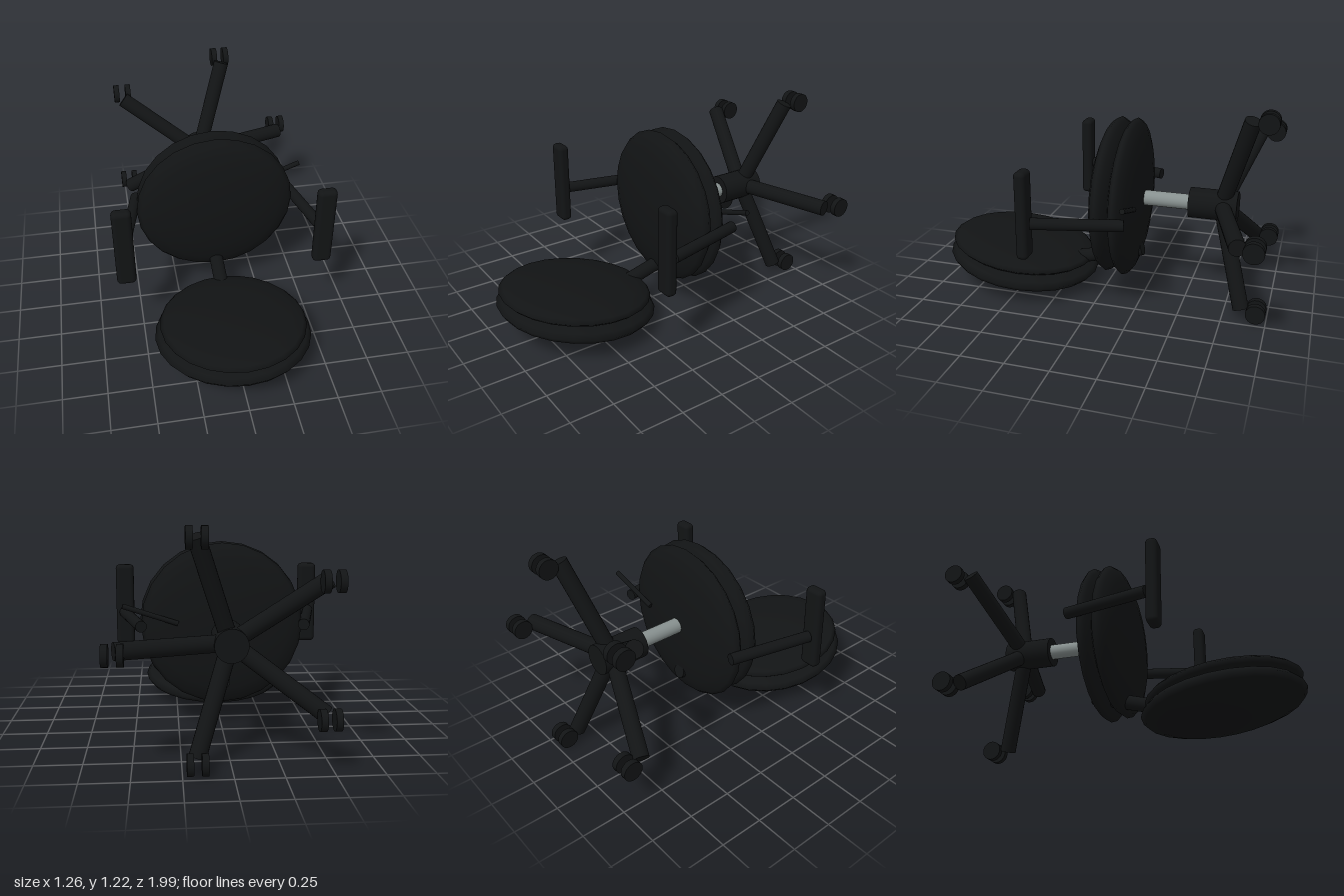
import * as THREE from 'three';
import { RoundedBoxGeometry } from 'three/addons/geometries/RoundedBoxGeometry.js';

export function createModel() {
  const chair = new THREE.Group();
  chair.name = 'officeChair';
  const black = new THREE.MeshStandardMaterial({ color: 0x121415 });
  const steel = new THREE.MeshStandardMaterial({ color: 0x87908f });
  const CX = -0.005, CY = 0.614; // column axis, which runs along z

  const add = (name, geometry, material = black, parent = chair) => {
    const mesh = new THREE.Mesh(geometry, material);
    mesh.name = name;
    parent.add(mesh);
    return mesh;
  };
  // Round bar between two points
  const rod = (name, from, to, radius, material = black, parent = chair, sides = 20) => {
    const a = new THREE.Vector3(...from), b = new THREE.Vector3(...to);
    const dir = b.clone().sub(a);
    const mesh = add(name, new THREE.CylinderGeometry(radius, radius, dir.length(), sides), material, parent);
    mesh.position.copy(a).add(b).multiplyScalar(0.5);
    mesh.quaternion.setFromUnitVectors(new THREE.Vector3(0, 1, 0), dir.normalize());
    return mesh;
  };
  // Flattened sphere, thin along its own y, tilted about x
  const cushion = (name, pos, radii, tilt) => {
    const mesh = add(name, new THREE.SphereGeometry(1, 24, 10));
    mesh.scale.set(...radii);
    mesh.position.set(...pos);
    mesh.rotation.x = tilt;
  };

  // Seat, facing forward because the chair lies on its back
  cushion('seatCushion', [CX, 0.622, -0.065], [0.472, 0.095, 0.458], Math.PI / 2);
  cushion('seatBase', [CX, 0.613, -0.162], [0.465, 0.08, 0.466], Math.PI / 2);

  // Backrest, lying in front
  const tilt = -0.139;
  cushion('backrestShell', [CX, 0.152, 0.535], [0.45, 0.091, 0.467], tilt);
  cushion('backrestCushion', [CX, 0.235, 0.538], [0.418, 0.062, 0.448], tilt);
  rod('backrestBar', [CX, 0.182, 0.17], [CX, 0.285, -0.23], 0.042);

  // Armrests
  for (const s of [-1, 1]) {
    const arm = new THREE.Group();
    arm.name = s > 0 ? 'leftArmrest' : 'rightArmrest';
    chair.add(arm);
    rod('armSupport', [CX + s * 0.463, CY, -0.235], [CX + s * 0.577, CY, 0.255], 0.033, black, arm);
    const pad = add('armPad', new RoundedBoxGeometry(0.11, 0.5, 0.066, 3, 0.025), black, arm);
    pad.position.set(CX + s * 0.574, 0.661, 0.295);
  }

  // Height lever under the seat
  rod('heightLever', [0.25, 0.63, -0.236], [0.56, 0.736, -0.254], 0.015, black, chair, 12);

  // Column and hub
  rod('gasColumn', [CX, CY, -0.2], [CX, CY, -0.55], 0.045, steel);
  rod('baseHub', [CX, CY, -0.508], [CX, CY, -0.785], 0.088, black, chair, 24);

  // Five legs with twin wheels
  for (let i = 0; i < 5; i++) {
    const angle = (i * Math.PI * 2) / 5;
    const x = CX + 0.58 * Math.cos(angle), y = CY + 0.58 * Math.sin(angle);
    const leg = new THREE.Group();
    leg.name = 'baseLeg' + (i + 1);
    chair.add(leg);
    rod('legTube', [CX, CY, -0.69], [x, y, -0.855], 0.046, black, leg);
    for (const s of [-1, 1]) {
      const wx = x + s * 0.037;
      rod('casterWheel', [wx - 0.017, y, -0.941], [wx + 0.017, y, -0.941], 0.056, black, leg, 24);
    }
  }
  return chair;
}
